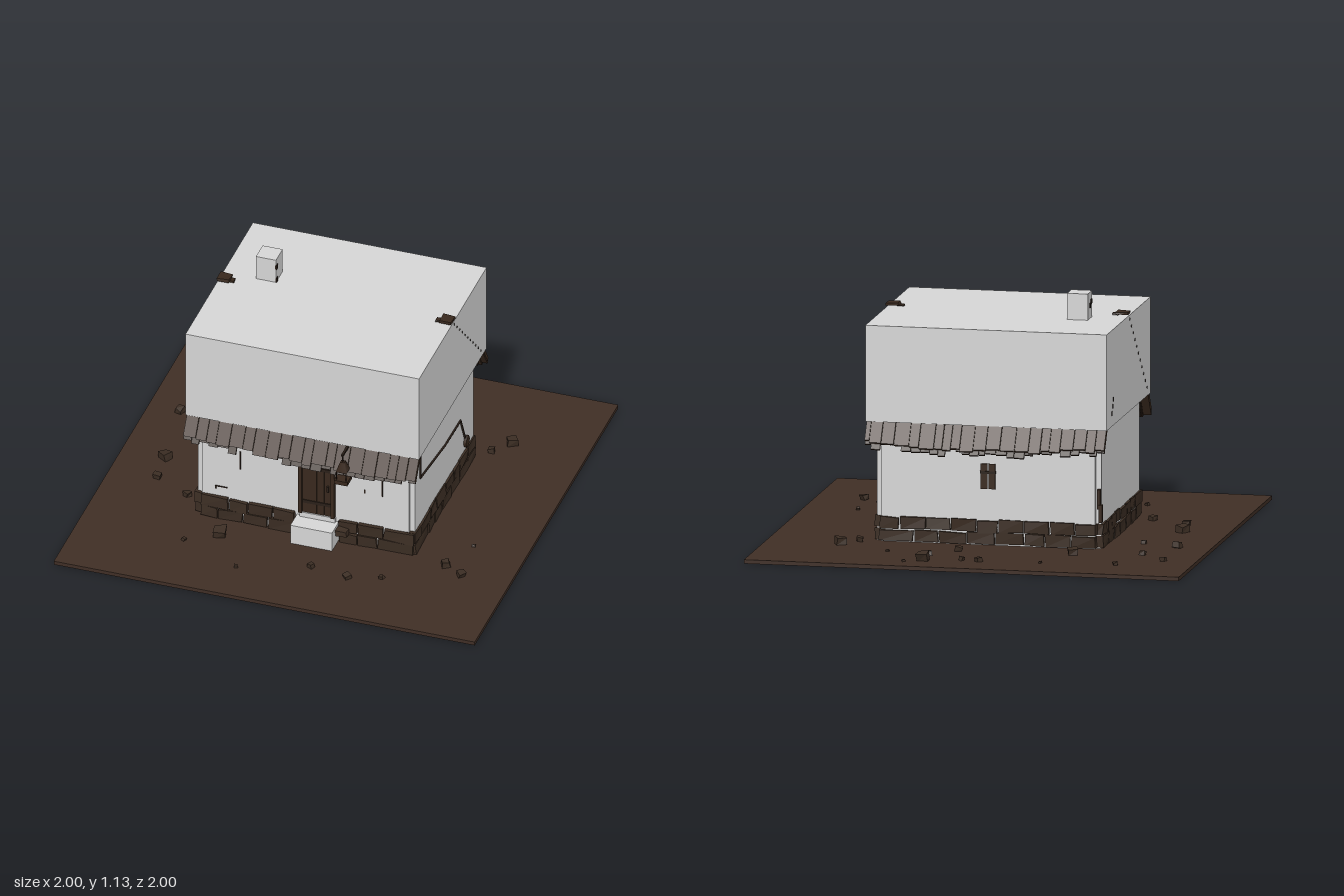
import * as THREE from 'three';

const mat = (name, color, side = THREE.FrontSide) => {
  const m = new THREE.MeshStandardMaterial({ color, side });
  m.name = name;
  return m;
};

export function createModel() {
  const plaster = mat('plaster', 0xd6d6d6);
  const earth = mat('earth', 0x3f2e25);
  const stone = mat('stone', 0x3b2d23);
  const wood = mat('wood', 0x38281d);
  const shingle = mat('shingle', 0x412f22);
  const iron = mat('iron', 0x2a1f18);

  let seed = 7;
  const rnd = (a = 0, b = 1) => {
    seed = (seed * 16807) % 2147483647;
    return a + (b - a) * (seed / 2147483647);
  };

  const root = new THREE.Group();
  root.name = 'cottage';
  const group = (name) => {
    const g = new THREE.Group();
    g.name = name;
    root.add(g);
    return g;
  };
  const add = (parent, name, geo, m, x, y, z) => {
    const mesh = new THREE.Mesh(geo, m);
    mesh.name = name;
    mesh.position.set(x, y, z);
    parent.add(mesh);
    return mesh;
  };
  // Box given by its two extreme corners
  const span = (parent, name, m, x0, x1, y0, y1, z0, z1) =>
    add(parent, name, new THREE.BoxGeometry(x1 - x0, y1 - y0, z1 - z0), m,
      (x0 + x1) / 2, (y0 + y1) / 2, (z0 + z1) / 2);
  // Box with uneven corners
  const roughBox = (w, h, d, j) => {
    const g = new THREE.BoxGeometry(w, h, d).toNonIndexed();
    const p = g.attributes.position;
    const moved = {};
    for (let i = 0; i < p.count; i++) {
      const k = [p.getX(i) > 0, p.getY(i) > 0, p.getZ(i) > 0].join();
      moved[k] ??= [rnd(-j, j), rnd(-j, j), rnd(-j, j)];
      p.setXYZ(i, p.getX(i) + moved[k][0], p.getY(i) + moved[k][1], p.getZ(i) + moved[k][2]);
    }
    g.computeVertexNormals();
    return g;
  };
  // Thin rod between two points
  const rod = (parent, name, a, b, r, m) => {
    const A = new THREE.Vector3(...a), B = new THREE.Vector3(...b);
    const mesh = add(parent, name, new THREE.CylinderGeometry(r, r, A.distanceTo(B), 6), m, 0, 0, 0);
    mesh.position.copy(A).lerp(B, 0.5);
    mesh.quaternion.setFromUnitVectors(new THREE.Vector3(0, 1, 0), B.clone().sub(A).normalize());
  };

  // Ground slab
  span(root, 'ground', earth, -1, 1, 0, 0.018, -1, 1);

  // Plain masses: walls with recessed corners, upper storey, chimney, steps
  span(root, 'frontBackWalls', plaster, -0.492, 0.492, 0.012, 0.58, -0.425, 0.425);
  span(root, 'sideWalls', plaster, -0.516, 0.516, 0.012, 0.58, -0.403, 0.41);
  span(root, 'upperBlock', plaster, -0.555, 0.555, 0.57, 1.01, -0.47, 0.47);
  span(root, 'chimney', plaster, -0.398, -0.303, 1.0, 1.13, -0.145, -0.052);
  span(root, 'step', plaster, -0.04, 0.158, 0.012, 0.115, 0.4, 0.52);
  span(root, 'threshold', plaster, -0.025, 0.145, 0.1, 0.14, 0.4, 0.438);

  // Chipped bricks on the chimney sides
  const chips = group('chimneyChips');
  for (const [x, y, z] of [[-0.303, 1.09, -0.062], [-0.303, 1.02, -0.062], [-0.398, 1.07, -0.1], [-0.398, 1.085, -0.075]])
    add(chips, 'chip', new THREE.BoxGeometry(0.008, 0.022, 0.02), iron, x, y, z);

  // Two courses of foundation stones around the house
  const base = group('foundationStones');
  const course = (from, to, y, place) => {
    let a = from;
    while (a < to - 0.02) {
      let w = rnd(0.085, 0.135);
      if (to - a - w < 0.06) w = to - a;
      place(a + w / 2, y + rnd(-0.003, 0.003), w - 0.007);
      a += w;
    }
  };
  for (const y of [0.047, 0.105]) {
    const alongX = (z) => (c, h, w) =>
      add(base, 'stone', roughBox(w, 0.053, 0.05, 0.004), stone, c, h, z);
    const alongZ = (x) => (c, h, w) =>
      add(base, 'stone', roughBox(0.04, 0.053, w, 0.004), stone, x, h, c);
    course(-0.495, -0.045, y, alongX(0.418));
    course(0.162, 0.52, y, alongX(0.418));
    course(-0.5, 0.5, y, alongX(-0.415));
    course(-0.41, 0.43, y, alongZ(0.505));
    course(-0.41, 0.43, y, alongZ(-0.505));
  }
  add(base, 'looseStone', roughBox(0.05, 0.03, 0.035, 0.004), stone, 0.185, 0.088, 0.46);

  // Plank door with frame, straps and handle
  const door = group('door');
  for (let i = 0; i < 4; i++)
    add(door, 'plank', new THREE.BoxGeometry(0.033, 0.31, 0.012), wood, 0.004 + i * 0.035, 0.295, 0.426);
  span(door, 'backing', iron, -0.018, 0.132, 0.14, 0.46, 0.42, 0.428);
  for (const x of [-0.02, 0.134]) span(door, 'jamb', wood, x - 0.008, x + 0.008, 0.138, 0.46, 0.42, 0.444);
  span(door, 'lintel', wood, -0.028, 0.142, 0.44, 0.47, 0.42, 0.446);
  for (const y of [0.2, 0.385]) span(door, 'strap', iron, -0.01, 0.124, y - 0.008, y + 0.008, 0.43, 0.436);
  span(door, 'handle', iron, 0.105, 0.115, 0.275, 0.305, 0.43, 0.443);

  // Cracks on the front wall and shutter on the back wall
  const marks = group('wallDetails');
  span(marks, 'crack', iron, -0.312, -0.307, 0.3, 0.395, 0.42, 0.428);
  span(marks, 'crack', iron, 0.363, 0.368, 0.3, 0.39, 0.42, 0.428);
  span(marks, 'crack', iron, 0.28, 0.285, 0.3, 0.318, 0.42, 0.428);
  span(marks, 'crack', iron, -0.43, -0.37, 0.183, 0.188, 0.42, 0.428);
  span(marks, 'crack', iron, -0.43, -0.424, 0.17, 0.188, 0.42, 0.428);
  for (const x of [-0.018, 0.018])
    span(marks, 'backShutter', wood, x - 0.016, x + 0.016, 0.275, 0.39, -0.432, -0.42);
  span(marks, 'shutterBar', iron, -0.036, 0.036, 0.345, 0.357, -0.436, -0.42);
  span(marks, 'cornerPlank', wood, -0.524, -0.508, 0.14, 0.22, -0.425, -0.4);
  span(marks, 'cornerPlank', wood, -0.514, -0.5, 0.2, 0.29, -0.42, -0.402);

  // Drain pipe on the left wall, ending in a hexagonal outlet
  const pipe = group('drainPipe');
  const path = [[0.345, 0.57], [0.345, 0.382], [0, 0.337], [-0.215, 0.333], [-0.285, 0.185]];
  for (let i = 1; i < path.length; i++)
    rod(pipe, 'pipeRun', [0.517, path[i - 1][1], path[i - 1][0]], [0.517, path[i][1], path[i][0]], 0.006, iron);
  add(pipe, 'outlet', new THREE.CylinderGeometry(0.028, 0.028, 0.022, 6), wood, 0.518, 0.175, -0.288)
    .rotation.z = Math.PI / 2;

  // Sagging shingled eaves, front and back
  const eave = (s) => {
    const g = group(s > 0 ? 'frontEave' : 'backEave');
    const tilt = 0.56;
    const shingleRow = (step, len, thick, inset, ragged, m) => {
      for (let x = -0.552; x < 0.54;) {
        const w = Math.min(rnd(step * 0.7, step * 1.3), 0.552 - x);
        const sag = 0.024 * (1 - (x / 0.55) ** 2);
        const l = len + sag + rnd(-ragged, ragged);
        const geo = new THREE.BoxGeometry(w - 0.002, l, thick);
        geo.translate(0, -l / 2, 0);
        add(g, 'shingle', geo, m, x + w / 2, 0.575, s * (0.448 - inset + rnd(0, 0.004))).rotation.x = -s * tilt;
        x += w;
      }
    };
    shingleRow(0.055, 0.107, 0.014, 0, 0.01, shingle);
    shingleRow(0.04, 0.125, 0.012, 0.014, 0.02, wood);
    // Rafter ends
    for (let i = 0; i < 9; i++) {
      const geo = new THREE.BoxGeometry(0.016, 0.13, 0.018);
      geo.translate(0, -0.065, 0);
      add(g, 'rafterEnd', geo, iron, -0.5 + i * 0.125, 0.57, s * 0.422).rotation.x = -s * tilt;
    }
  };
  eave(1);
  eave(-1);

  // Ridge ends and chips of the gable edge
  const trim = group('roofTrim');
  for (const s of [-1, 1]) {
    add(trim, 'ridgeCap', roughBox(0.056, 0.012, 0.058, 0.003), wood, s * 0.527, 1.024, 0);
    add(trim, 'ridgeSplinter', roughBox(0.03, 0.009, 0.026, 0.003), wood, s * 0.495, 1.017, 0.004);
    for (let i = 0; i < 11; i++) {
      const t = 0.02 + i * 0.037;
      add(trim, 'edgeChip', new THREE.BoxGeometry(0.008, 0.01, 0.008), iron,
        s * 0.5535, 1.012 - t * 1.03, -s * t).rotation.x = 0.8;
    }
  }
  for (const [y, z] of [[0.69, -0.33], [0.66, -0.345], [0.63, -0.36]])
    add(trim, 'edgeChip', new THREE.BoxGeometry(0.008, 0.02, 0.008), iron, -0.5535, y, z);

  // Hanging lantern by the door
  const lantern = group('lantern');
  span(lantern, 'bracket', iron, 0.21, 0.22, 0.56, 0.57, 0.42, 0.545);
  rod(lantern, 'hook', [0.215, 0.565, 0.535], [0.215, 0.52, 0.535], 0.004, iron);
  const lid = add(lantern, 'lid', new THREE.CylinderGeometry(0.014, 0.036, 0.048, 4), wood, 0.215, 0.505, 0.535);
  lid.rotation.y = Math.PI / 4;
  span(lantern, 'base', wood, 0.183, 0.247, 0.42, 0.44, 0.503, 0.567);
  for (const x of [-1, 1]) for (const z of [-1, 1])
    rod(lantern, 'bar', [0.215 + x * 0.022, 0.435, 0.535 + z * 0.022], [0.215 + x * 0.022, 0.485, 0.535 + z * 0.022], 0.002, iron);

  // Rubble on the ground: x, z, size
  const rubble = group('rubble');
  const rocks = [
    [-0.85, -0.64, 0.025], [-0.66, -0.78, 0.02], [-0.32, -0.8, 0.012], [-0.04, -0.82, 0.026], [0.04, -0.81, 0.022],
    [0.21, -0.85, 0.05], [0.29, -0.89, 0.014], [0.21, -0.72, 0.028], [0.41, -0.67, 0.012], [0.1, -0.59, 0.032],
    [-0.42, -0.58, 0.04], [-0.73, -0.515, 0.026], [-0.845, -0.31, 0.034], [-0.68, -0.25, 0.022], [0.65, -0.55, 0.045],
    [0.58, -0.46, 0.028], [-0.79, 0.06, 0.042], [-0.775, 0.215, 0.032], [-0.6, 0.31, 0.03], [-0.36, 0.56, 0.05],
    [-0.5, 0.65, 0.016], [-0.21, 0.78, 0.016], [0.11, 0.67, 0.026], [0.29, 0.7, 0.028], [0.44, 0.655, 0.02],
    [0.68, 0.465, 0.036], [0.77, 0.52, 0.034], [0.75, 0.28, 0.014],
  ];
  for (const [x, z, r] of rocks)
    add(rubble, 'rock', roughBox(r, r * 0.8, r, r * 0.13), stone, x, 0.018 + r * 0.35, z)
      .rotation.set(rnd(-0.3, 0.3), rnd(0, 3), rnd(-0.3, 0.3));

  return root;
}
